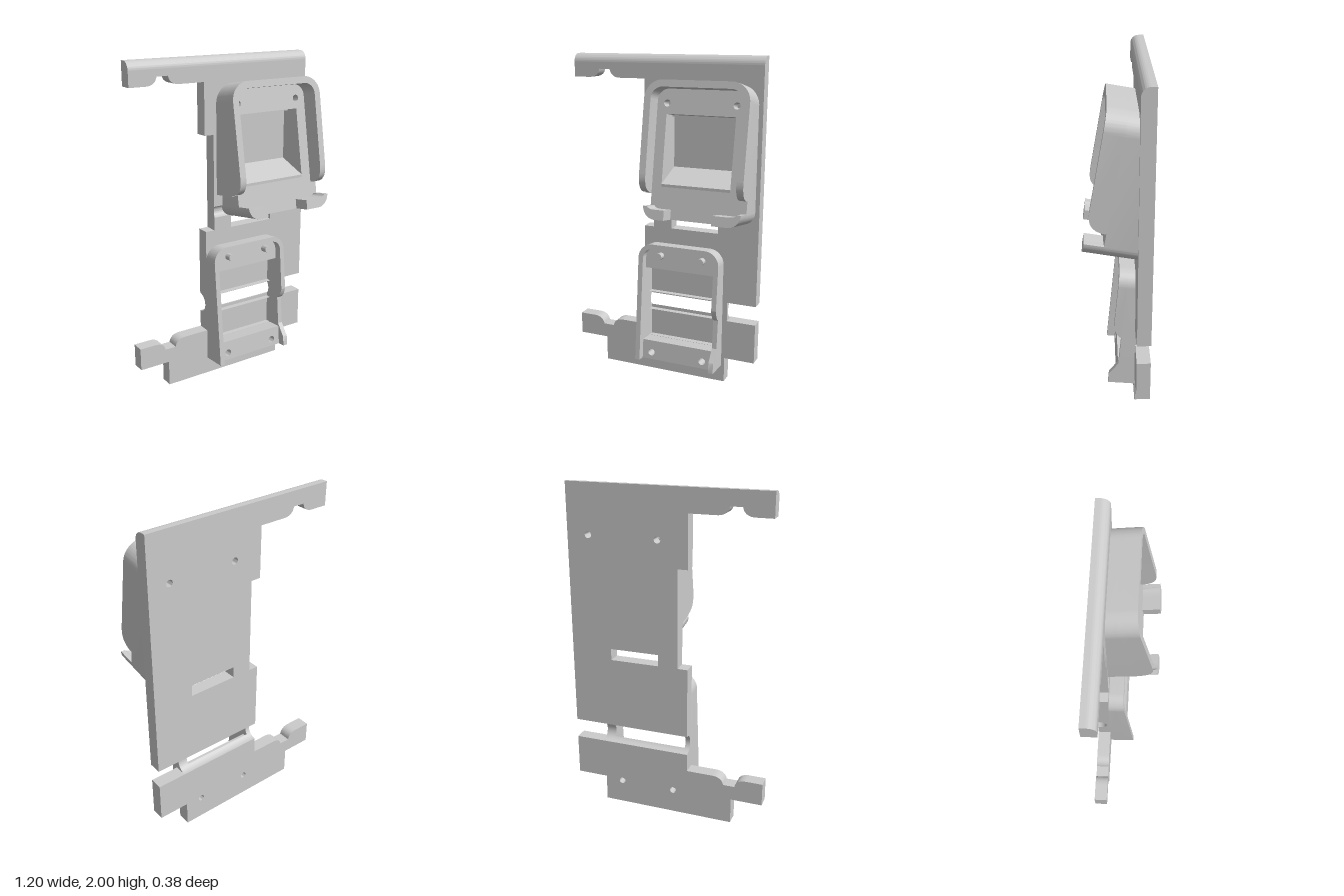
import * as THREE from 'three';
import { toCreasedNormals } from 'three/addons/utils/BufferGeometryUtils.js';

const material = new THREE.MeshStandardMaterial({ color: 0xcccccc, side: THREE.DoubleSide });
const BACK = -0.19, MID = -0.145, FRONT = -0.11;

const poly = (pts) => new THREE.Shape(pts.map(([x, y]) => new THREE.Vector2(x, y)));
const rect = (x0, x1, y0, y1) => poly([[x0, y0], [x1, y0], [x1, y1], [x0, y1]]);
const circle = (x, y, r) => new THREE.Shape().absarc(x, y, r, 0, Math.PI * 2);

function extrude(shape, z0, z1) {
  const g = new THREE.ExtrudeGeometry(shape, { depth: z1 - z0, bevelEnabled: false, curveSegments: 12 });
  return g.translate(0, 0, z0);
}
// Profile drawn as (z, y), swept along x
function sweepX(shape, x0, x1) {
  return extrude(shape, 0, x1 - x0).rotateY(-Math.PI / 2).translate(x1, 0, 0);
}
function add(parent, name, geometry) {
  const mesh = new THREE.Mesh(toCreasedNormals(geometry, 0.6), material);
  mesh.name = name;
  parent.add(mesh);
}

// Lean a tray part back; parts reaching the plate get their back slid onto it
function leaner(angle, y, z) {
  return (g, toPlate = false) => {
    const p = g.attributes.position;
    const isBack = Array.from({ length: p.count }, (_, i) => toPlate && p.getZ(i) < -0.3);
    g.rotateX(-angle).translate(0, y, z);
    isBack.forEach((b, i) => {
      if (!b) return;
      const dz = FRONT - 0.01 - p.getZ(i);
      p.setXYZ(i, p.getX(i), p.getY(i) + dz * Math.tan(angle), FRONT - 0.01);
    });
    return g;
  };
}

// Wall following both sides and the rounded top; yl and yr are its lower ends
function arch(x0, x1, r, t, yl, yr) {
  const s = new THREE.Shape(), q = r - t;
  s.moveTo(x0, yl); s.lineTo(x0, -r);
  s.absarc(x0 + r, -r, r, Math.PI, Math.PI / 2, true);
  s.absarc(x1 - r, -r, r, Math.PI / 2, 0, true);
  s.lineTo(x1, yr); s.lineTo(x1 - t, yr);
  s.absarc(x1 - r, -r, q, 0, Math.PI / 2, false);
  s.absarc(x0 + r, -r, q, Math.PI / 2, Math.PI, false);
  s.lineTo(x0 + t, yl);
  return s;
}

function buildPlate(parent) {
  // Upper half with the top arm
  const upper = () => {
    const s = new THREE.Shape();
    s.moveTo(0.6, 0.53); s.lineTo(0.6, 1.95); s.lineTo(-0.6, 1.95); s.lineTo(-0.6, 1.86);
    s.lineTo(-0.5, 1.86);
    s.quadraticCurveTo(-0.44, 1.86, -0.43, 1.91);
    s.lineTo(-0.36, 1.91);
    s.quadraticCurveTo(-0.35, 1.86, -0.29, 1.86);
    for (const [x, y] of [[-0.13, 1.86], [-0.13, 1.55], [-0.07, 1.55], [-0.07, 0.96], [-0.13, 0.96], [-0.13, 0.53]]) s.lineTo(x, y);
    s.holes.push(rect(0.05, 0.35, 0.96, 1.03), circle(0.05, 1.705, 0.02), circle(0.47, 1.705, 0.02));
    return s;
  };
  // Lower half with the bottom arm and foot
  const lower = () => {
    const s = new THREE.Shape();
    s.moveTo(-0.13, 0.41); s.lineTo(-0.13, 0.3); s.lineTo(-0.29, 0.3);
    s.quadraticCurveTo(-0.35, 0.3, -0.36, 0.25);
    s.lineTo(-0.43, 0.25);
    s.quadraticCurveTo(-0.44, 0.3, -0.5, 0.3);
    for (const [x, y] of [[-0.6, 0.3], [-0.6, 0.16], [-0.41, 0.16], [-0.41, 0], [0.41, 0], [0.41, 0.16], [0.6, 0.16], [0.6, 0.41]]) s.lineTo(x, y);
    s.holes.push(circle(-0.04, 0.148, 0.02), circle(0.3, 0.148, 0.02));
    return s;
  };
  add(parent, 'upperPlateBack', extrude(upper(), BACK, MID));
  add(parent, 'lowerPlateBack', extrude(lower(), BACK, MID));

  // Front layers carry the tray pockets and the cable groove
  const uf = upper(), lf = lower();
  uf.holes.push(rect(0.05, 0.47, 1.26, 1.645), rect(-0.0699, 0.04, 1.04, 1.11), rect(-0.1, 0.36, 0.5301, 0.7));
  lf.holes.push(rect(-0.1, 0.36, 0.23, 0.4099));
  add(parent, 'upperPlateFront', extrude(uf, MID, FRONT));
  add(parent, 'lowerPlateFront', extrude(lf, MID, FRONT));
  const groove = new THREE.Shape();
  groove.moveTo(MID - 0.005, 1.04); groove.lineTo(FRONT, 1.04);
  groove.absarc(FRONT, 1.075, 0.035, -Math.PI / 2, -Math.PI * 1.5, true);
  groove.lineTo(MID - 0.005, 1.11);
  add(parent, 'cableGroove', sweepX(groove, -0.07, 0.04));

  // Rounded top edge
  const top = new THREE.Shape();
  top.moveTo(BACK, 1.95); top.lineTo(FRONT, 1.95);
  top.absarc(FRONT - 0.05, 1.95, 0.05, 0, Math.PI / 2, false);
  top.lineTo(BACK, 2);
  add(parent, 'roundedTopEdge', sweepX(top, -0.6, 0.6));

  // Bridges over the round channel on the back
  const bridge = new THREE.Shape();
  bridge.moveTo(FRONT, 0.41); bridge.lineTo(FRONT, 0.53); bridge.lineTo(BACK, 0.53);
  bridge.absarc(BACK, 0.47, 0.06, Math.PI / 2, -Math.PI / 2, true);
  for (const [x0, x1] of [[-0.13, -0.1], [0.36, 0.42]]) add(parent, 'channelBridge', sweepX(bridge, x0, x1));
  const a = Math.acos(0.75);
  for (const s of [1, -1]) {
    const lip = new THREE.Shape();
    lip.moveTo(MID, 0.47 + s * 0.06); lip.lineTo(BACK, 0.47 + s * 0.06);
    lip.absarc(BACK, 0.47, 0.06, s * Math.PI / 2, s * a, s > 0);
    add(parent, 'channelLip', sweepX(lip, -0.1, 0.36));
  }
}

function buildUpperTray(parent) {
  const lean = leaner(THREE.MathUtils.degToRad(10), 1.87, 0.05);
  const x0 = -0.05, x1 = 0.575, r = 0.11, floor = -0.107, b = -0.794, rb = 0.075;
  // Body with a pocket and screw holes
  const base = new THREE.Shape();
  base.moveTo(x0, -0.65); base.lineTo(x0, -r);
  base.absarc(x0 + r, -r, r, Math.PI, Math.PI / 2, true);
  base.absarc(x1 - r, -r, r, Math.PI / 2, 0, true);
  base.absarc(x1 - rb, b + rb, rb, 0, -Math.PI / 2, true);
  base.absarc(x0 + 0.04 + rb, b + rb, rb, -Math.PI / 2, -Math.PI, true);
  base.lineTo(x0 + 0.04, -0.65);
  base.holes.push(rect(0.05, 0.47, -0.59, -0.185), circle(0.05, -0.123, 0.02), circle(0.47, -0.123, 0.02));
  add(parent, 'upperTrayBody', lean(extrude(base, -0.4, floor), true));
  add(parent, 'upperTrayWall', lean(extrude(arch(x0, x1, r, 0.04, -0.54, -0.54), floor, 0)));
  // Rounded lower ends of the side walls
  const end = new THREE.Shape();
  end.moveTo(floor, -0.54); end.lineTo(floor, -0.645);
  end.quadraticCurveTo(0, -0.645, 0, -0.54);
  for (const x of [x0, x1 - 0.04]) add(parent, 'upperTrayWallEnd', lean(sweepX(end, x, x + 0.04)));
  // Sloped pocket bottom
  add(parent, 'pocketSlope', sweepX(poly([[MID, 1.22], [0.05, 1.22], [0.05, 1.27], [MID, 1.34]]), 0.05, 0.47));
  // Curled front lips; d points from the outer edge to the middle
  for (const [x, d, w] of [[x0 + 0.04, 1, 0.13], [x1, -1, 0.165]]) {
    const lip = new THREE.Shape();
    lip.moveTo(x + d * w, b);
    lip.lineTo(x + d * rb, b);
    lip.absarc(x + d * rb, b + rb, rb, -Math.PI / 2, d > 0 ? -Math.PI : 0, d > 0);
    lip.lineTo(x + d * 0.025, b + rb);
    lip.quadraticCurveTo(x + d * 0.03, -0.736, x + d * 0.08, -0.736);
    lip.lineTo(x + d * w, -0.736);
    add(parent, 'frontLip', lean(extrude(lip, floor, 0)));
  }
}

function buildLowerTray(parent) {
  const lean = leaner(THREE.MathUtils.degToRad(5.3), 0.87, -0.02);
  const x0 = -0.13, x1 = 0.39, r = 0.09, floor = -0.05, b = -0.753;
  const base = new THREE.Shape();
  base.moveTo(x0, b); base.lineTo(x0, -r);
  base.absarc(x0 + r, -r, r, Math.PI, Math.PI / 2, true);
  base.absarc(x1 - r, -r, r, Math.PI / 2, 0, true);
  base.lineTo(x1, b);
  base.holes.push(rect(-0.1, 0.36, -0.63, -0.16), circle(-0.04, -0.708, 0.022), circle(0.3, -0.708, 0.022));
  add(parent, 'lowerTrayBody', lean(extrude(base, -0.4, floor), true));
  add(parent, 'lowerTrayWall', lean(extrude(arch(x0, x1, r, 0.03, b, -0.36), floor, 0)));
  // Finger cut-out in one side wall
  const above = new THREE.Shape();
  above.moveTo(floor, -0.36); above.lineTo(floor, -0.43);
  above.quadraticCurveTo(-0.015, -0.41, 0, -0.36);
  const below = new THREE.Shape();
  below.moveTo(floor, b); below.lineTo(0, b); below.lineTo(0, -0.69);
  below.quadraticCurveTo(-0.02, -0.66, floor, -0.61);
  for (const s of [above, below]) add(parent, 'cutoutWallEnd', lean(sweepX(s, x1 - 0.03, x1)));
  // Locating pins
  for (const x of [0, 0.27]) add(parent, 'locatingPin', lean(extrude(circle(x, -0.075, 0.021), floor - 0.01, -0.005)));
}

export function createModel() {
  const model = new THREE.Group();
  for (const [name, build] of [['backPlate', buildPlate], ['upperTray', buildUpperTray], ['lowerTray', buildLowerTray]]) {
    const group = new THREE.Group();
    group.name = name;
    build(group);
    model.add(group);
  }
  return model;
}
